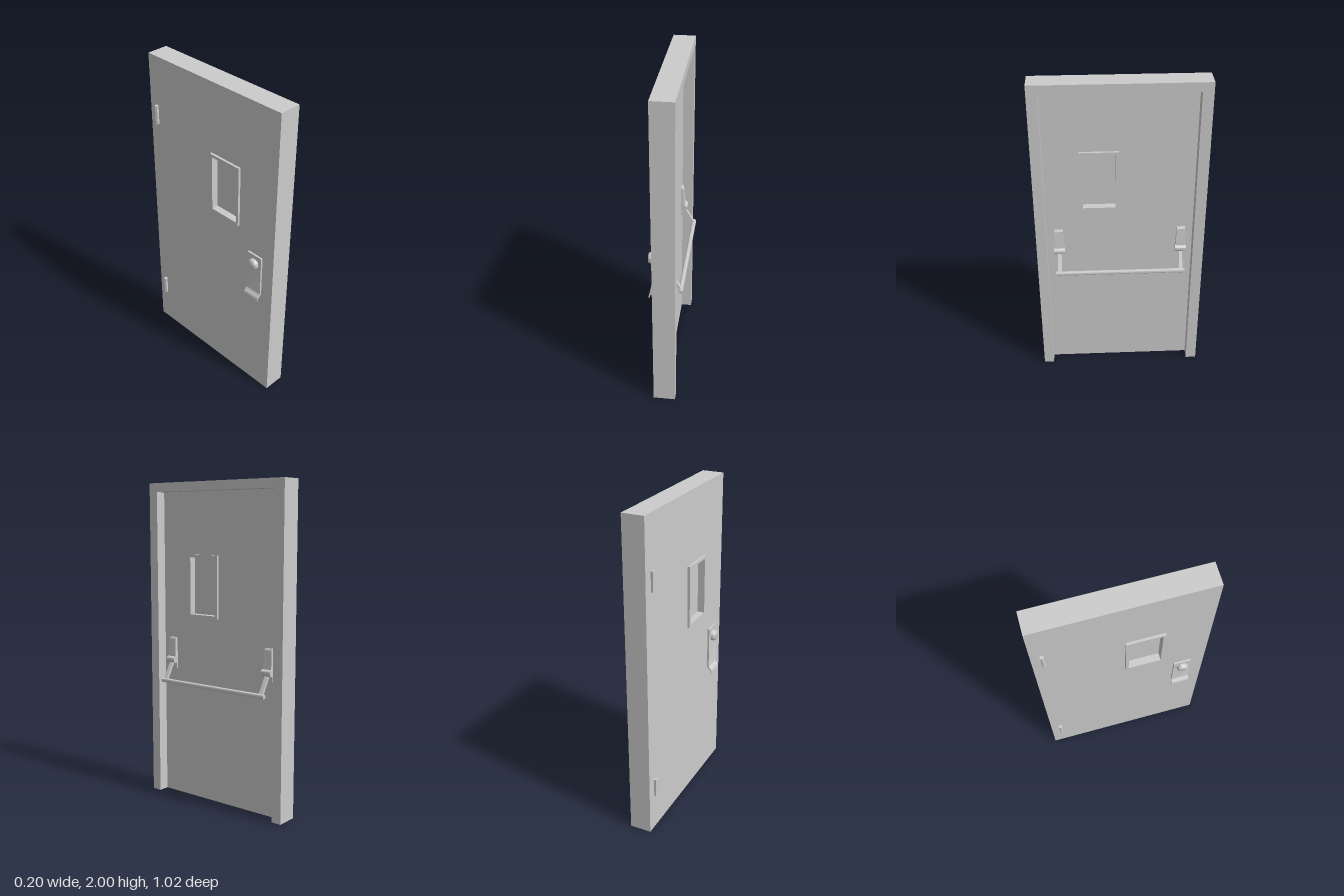
import * as THREE from 'three';
import { toCreasedNormals } from 'three/addons/utils/BufferGeometryUtils.js';

const grey = new THREE.MeshStandardMaterial({ color: 0xcccccc });

function add(parent, name, geometry, x = 0, y = 0, z = 0) {
  const mesh = new THREE.Mesh(geometry, grey);
  mesh.name = name;
  mesh.position.set(x, y, z);
  parent.add(mesh);
  return mesh;
}

const points = (list) => list.map(([u, v]) => new THREE.Vector2(u, v));
const rect = (z0, z1, y0, y1) => points([[-z1, y0], [-z0, y0], [-z0, y1], [-z1, y1]]);

// Outline in the door plane, extruded through the thickness from x0 to x1
function slab(outline, x0, x1, hole) {
  const shape = new THREE.Shape(outline);
  if (hole) shape.holes.push(new THREE.Path(hole));
  return new THREE.ExtrudeGeometry(shape, { depth: x1 - x0, bevelEnabled: false })
    .rotateY(Math.PI / 2).translate(x0, 0, 0);
}

// Side profile in x and y, extruded across the width and centred on z = 0
function sideProfile(shape, width) {
  return new THREE.ExtrudeGeometry(shape, { depth: width, bevelEnabled: false, curveSegments: 8 })
    .translate(0, 0, -width / 2);
}

const rodAlongZ = (radius, length, sides = 20) =>
  toCreasedNormals(new THREE.CylinderGeometry(radius, radius, length, sides).rotateX(Math.PI / 2), 0.7);

// Crash-bar end: tapered cover, pivot barrel and sloping arm
function barBracket(z) {
  const bracket = new THREE.Group();
  bracket.name = 'barBracket';
  bracket.position.z = z;
  const cover = sideProfile(new THREE.Shape(points([
    [0, 0.865], [0.024, 0.865], [0.024, 0.91], [0.015, 1.02], [0.009, 1.03], [0, 1.03],
  ])), 0.062);
  const p = cover.attributes.position;
  for (let i = 0; i < p.count; i++) {
    p.setZ(i, p.getZ(i) * (1 - 0.18 * (p.getY(i) - 0.865) / 0.165));
  }
  cover.computeVertexNormals();
  add(bracket, 'bracketCover', cover);
  add(bracket, 'bracketBase', new THREE.BoxGeometry(0.01, 0.05, 0.058), 0.005, 0.855, 0);
  add(bracket, 'pivotBarrel', rodAlongZ(0.021, 0.066), 0.022, 0.886, 0);

  const top = new THREE.Vector2(0.018, 0.875), end = new THREE.Vector2(0.085, 0.757);
  const dir = end.clone().sub(top);
  const arm = add(bracket, 'pivotArm', new THREE.BoxGeometry(0.016, dir.length(), 0.024),
    (top.x + end.x) / 2, (top.y + end.y) / 2, 0);
  arm.rotation.z = Math.atan2(dir.x, -dir.y);
  return bracket;
}

export function createModel() {
  const door = new THREE.Group();
  door.name = 'fireDoor';

  // Door panel, flush with the outer side of the frame
  add(door, 'doorPanel', slab(rect(-0.512, 0.512, 0, 2), -0.068, 0, rect(0.02, 0.23, 1.18, 1.55)));

  // Surround standing proud of the panel on the bar side
  add(door, 'doorFrame', slab(points([
    [-0.512, 0], [-0.45, 0], [-0.45, 1.945], [0.447, 1.945],
    [0.447, 0], [0.512, 0], [0.512, 2], [-0.512, 2],
  ]), 0, 0.067));

  // Window trim through the panel, with the pane at mid thickness
  add(door, 'windowTrim', slab(rect(0.008, 0.238, 1.17, 1.56), -0.083, 0.015,
    rect(0.026, 0.222, 1.188, 1.542)));
  add(door, 'windowPane', new THREE.BoxGeometry(0.008, 0.36, 0.2), -0.034, 1.365, 0.124);

  // Crash bar
  for (const z of [0.375, -0.375]) door.add(barBracket(z));
  add(door, 'crashBar', rodAlongZ(0.0135, 0.8), 0.0855, 0.757, 0);

  // Six-sided hinge knuckles
  for (const y of [0.3, 1.63]) {
    const pin = new THREE.CylinderGeometry(0.0125, 0.0125, 0.12, 6).rotateY(Math.PI / 6);
    add(door, 'hinge', toCreasedNormals(pin, 0.3), -0.079, y, -0.45);
  }

  // Outer pull plate with a curled lower lip
  const plate = new THREE.Shape();
  plate.moveTo(-0.066, 1.03);
  plate.lineTo(-0.08, 1.03);
  plate.lineTo(-0.08, 0.765);
  plate.quadraticCurveTo(-0.083, 0.752, -0.093, 0.748);
  plate.quadraticCurveTo(-0.1, 0.742, -0.102, 0.72);
  plate.lineTo(-0.095, 0.72);
  plate.quadraticCurveTo(-0.093, 0.738, -0.086, 0.741);
  plate.quadraticCurveTo(-0.075, 0.747, -0.073, 0.755);
  plate.lineTo(-0.066, 0.755);
  add(door, 'pullPlate', toCreasedNormals(sideProfile(plate, 0.11), 0.6), 0, 0, 0.373);

  // Lock cylinder with a softened rim
  const lock = new THREE.LatheGeometry(points([
    [0, 0], [0.035, 0], [0.034, 0.014], [0.031, 0.022], [0.026, 0.026], [0, 0.026],
  ]), 28).rotateZ(Math.PI / 2);
  add(door, 'lockCylinder', toCreasedNormals(lock, 0.7), -0.079, 0.97, 0.373);

  return door;
}
